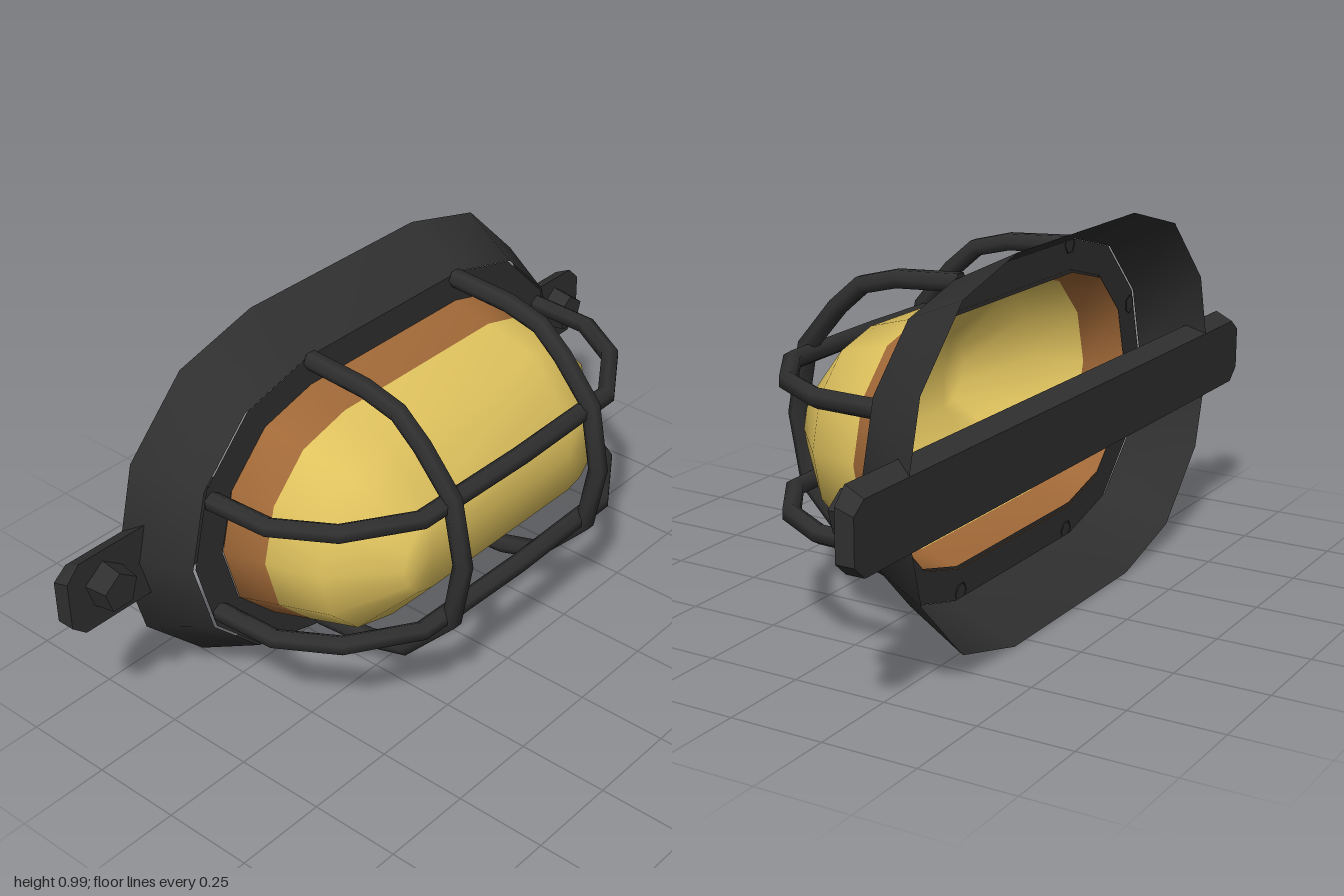
import * as THREE from 'three';
import { mergeGeometries } from 'three/addons/utils/BufferGeometryUtils.js';

const CY = 0.495; // height of the lamp's axis

// Stadium outline of end radius r at depth z, counter-clockwise from the front
function stadium(half, r, z, seg = 6) {
  const pts = [];
  for (const side of [1, -1]) {
    for (let i = 0; i <= seg; i++) {
      const a = -Math.PI / 2 + (i / seg) * Math.PI;
      pts.push(side * (half + r * Math.cos(a)), CY + side * r * Math.sin(a), z);
    }
  }
  return pts;
}

// Smooth skin over a list of [radius, z] stadium sections
function loft(half, sections) {
  const pos = [], idx = [], n = 14;
  sections.forEach(([r, z]) => pos.push(...stadium(half, r, z)));
  for (let i = 0; i < sections.length - 1; i++) {
    for (let j = 0; j < n; j++) {
      const a = i * n + j, b = i * n + (j + 1) % n;
      idx.push(a, b, b + n, a, b + n, a + n);
    }
  }
  const g = new THREE.BufferGeometry();
  g.setAttribute('position', new THREE.Float32BufferAttribute(pos, 3));
  g.setIndex(idx);
  g.computeVertexNormals();
  return g;
}

// Angular wire whose rings sit exactly on the path points
function wire(points) {
  const curve = new THREE.CatmullRomCurve3(points);
  curve.getPointAt = (t, target) => curve.getPoint(t, target);
  curve.getTangentAt = (t, target) => curve.getTangent(t, target);
  return new THREE.TubeGeometry(curve, points.length - 1, 0.026, 6);
}

export function createModel() {
  const group = new THREE.Group();
  const metal = new THREE.MeshStandardMaterial({ color: 0x2f2f2f, side: THREE.DoubleSide });
  const glass = new THREE.MeshStandardMaterial({ color: 0xdfc25e, side: THREE.DoubleSide });
  const amber = new THREE.MeshStandardMaterial({ color: 0xa06837, side: THREE.DoubleSide });
  metal.name = 'black metal';
  glass.name = 'yellow glass';
  amber.name = 'amber rim';

  const add = (name, geometry, material) => {
    const m = new THREE.Mesh(geometry, material);
    m.name = name;
    group.add(m);
  };

  // Thin housing, open at the back: sloped wall and a flat front lip around the glass
  add('housing', mergeGeometries([
    loft(0.305, [[0.495, -0.344], [0.41, -0.17]]),
    loft(0.295, [[0.412, -0.17], [0.32, -0.17]]),
  ]), metal);

  // Glass dome with its darker rim
  add('glassRim', loft(0.28, [[0.331, -0.172], [0.3, -0.058]]), amber);
  add('glassDome', loft(0.28, [[0.3, -0.058], [0.26, 0.088], [0.106, 0.223], [0, 0.223]]), glass);

  // Upright hoops of the guard, top to bottom, as [y, z]
  const hoop = [
    [0.895, -0.172], [0.884, 0.01], [0.857, 0.115], [0.792, 0.19], [0.68, 0.285], [0.497, 0.319],
    [0.315, 0.285], [0.15, 0.128], [0.115, 0.01], [0.1, -0.172],
  ];
  // Lengthwise bars of the guard, half path as [x, z]
  const half = [[0.637, -0.172], [0.628, 0.01], [0.54, 0.155], [0.37, 0.267]];
  const bar = [...half, [0, 0.275], ...half.map(([x, z]) => [-x, z]).reverse()];

  for (const s of [1, -1]) {
    add(s > 0 ? 'leftGuardHoop' : 'rightGuardHoop',
      wire(hoop.map(([y, z]) => new THREE.Vector3(s * 0.277, y, z))), metal);
    add(s > 0 ? 'upperGuardBar' : 'lowerGuardBar',
      wire(bar.map(([x, z]) => new THREE.Vector3(x, CY + s * 0.168, z))), metal);
  }

  // Mounting strap across the back, with clipped ends and a top that slopes down to the rear
  const strap = new THREE.Shape([
    [-1, -0.07], [-0.96, -0.105], [0.96, -0.105], [1, -0.07],
    [1, 0.06], [0.96, 0.1], [-0.96, 0.1], [-1, 0.06],
  ].map(([x, y]) => new THREE.Vector2(x, y)));
  const strapGeo = new THREE.ExtrudeGeometry(strap, { depth: 0.05, bevelEnabled: false });
  const p = strapGeo.attributes.position;
  for (let i = 0; i < p.count; i++) {
    if (p.getZ(i) < 0.01 && p.getY(i) > 0) p.setY(i, p.getY(i) * 0.75);
  }
  strapGeo.computeVertexNormals();
  strapGeo.translate(0, CY, -0.345);
  add('mountingStrap', strapGeo, metal);

  // Tapered five-sided bolts on the strap ends
  for (const s of [1, -1]) {
    const bolt = new THREE.CylinderGeometry(0.053, 0.063, 0.065, 5).toNonIndexed();
    bolt.computeVertexNormals();
    bolt.rotateX(Math.PI / 2);
    bolt.rotateZ(Math.PI);
    bolt.translate(s * 0.888, CY + 0.008, -0.267);
    add(s > 0 ? 'leftBolt' : 'rightBolt', bolt, metal);
  }

  return group;
}
